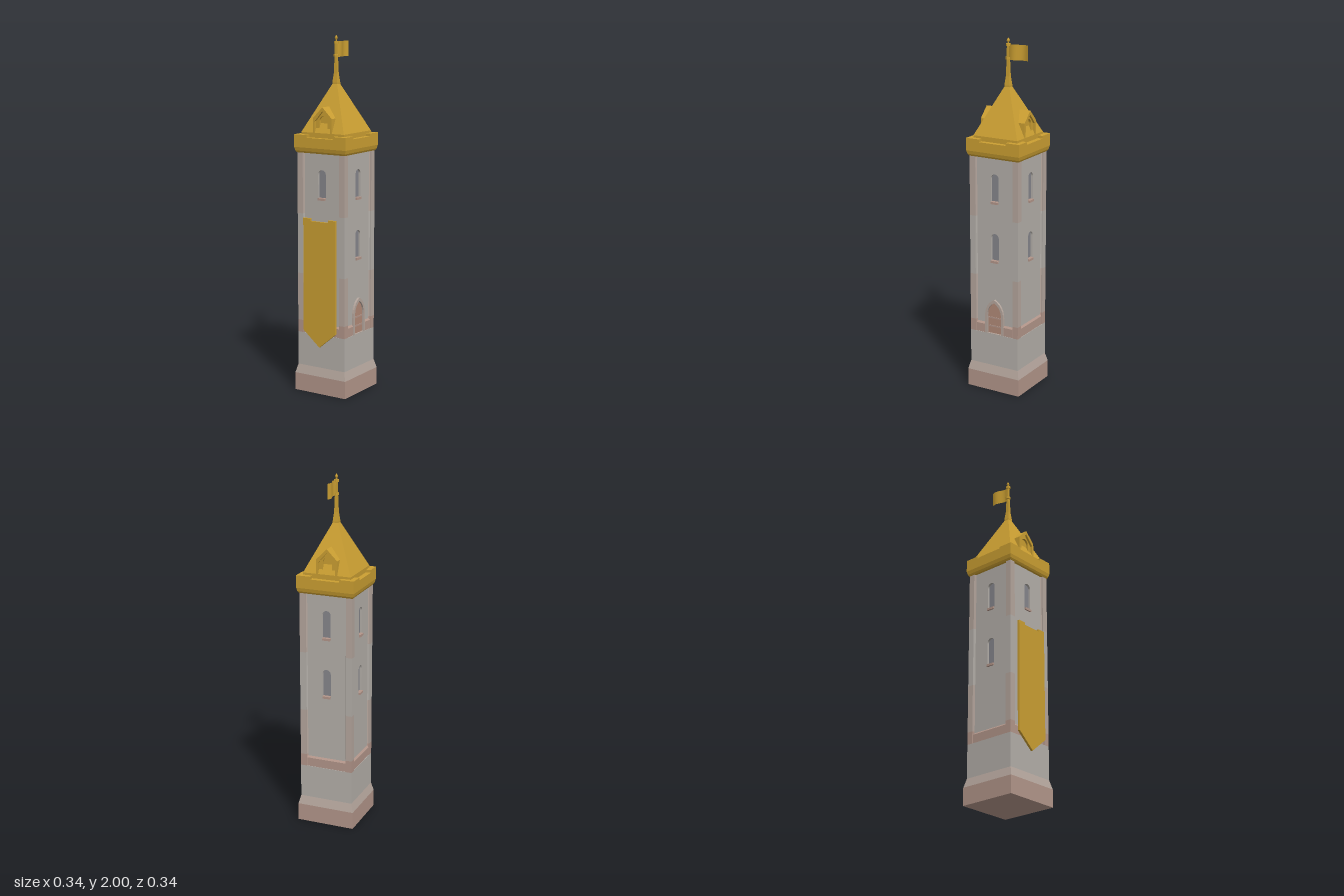
import * as THREE from 'three';

const mat = (color, flatShading = true) => new THREE.MeshStandardMaterial({ color, flatShading });
const stone = mat(0xb4afa9), pink = mat(0xb3968a), paleStone = mat(0xb5a69d), pane = mat(0x86868c);
const doorWood = mat(0xb18a78), gold = mat(0xcb9f32);
const cloth = new THREE.MeshStandardMaterial({ color: 0xcb9f32, side: THREE.DoubleSide });

function add(parent, name, geometry, material, x = 0, y = 0, z = 0) {
  const mesh = new THREE.Mesh(geometry, material);
  mesh.name = name;
  mesh.position.set(x, y, z);
  parent.add(mesh);
  return mesh;
}

const polygon = (points) => new THREE.Shape(points.map(([x, y]) => new THREE.Vector2(x, y)));
const extrude = (shape, depth) =>
  new THREE.ExtrudeGeometry(shape, { depth, bevelEnabled: false, curveSegments: 6 });

// Square-plan solid from [half width, height] pairs, bottom to top
function squareLathe(profile) {
  const points = profile.map(([r, y]) => new THREE.Vector2(r * Math.SQRT2, y));
  return new THREE.LatheGeometry(points, 4, Math.PI / 4).toNonIndexed();
}

// Plan outline raised upwards; plan y becomes -z
function raise(points, y0, y1) {
  return extrude(polygon(points), y1 - y0).rotateX(-Math.PI / 2).translate(0, y0, 0);
}

// Round-headed opening
function roundArch(w, y0, y1, Kind = THREE.Shape) {
  const s = new Kind();
  s.moveTo(-w, y0);
  s.lineTo(w, y0);
  s.lineTo(w, y1 - w);
  s.absarc(0, y1 - w, w, 0, Math.PI, false);
  s.lineTo(-w, y0);
  return s;
}

// Slightly pointed opening for the doorway
function pointedArch(w, y0, y1, Kind = THREE.Shape) {
  const spring = y1 - w * 1.75;
  const s = new Kind();
  s.moveTo(-w, y0);
  s.lineTo(w, y0);
  s.lineTo(w, spring);
  s.quadraticCurveTo(w, y1 - w * 0.5, 0, y1);
  s.quadraticCurveTo(-w, y1 - w * 0.5, -w, spring);
  s.lineTo(-w, y0);
  return s;
}

const BASE = 0.34, TOP = 1.37, WALL = 0.143;

// One recessed side of the shaft, facing +z
function buildWall(hasDoor) {
  const wall = new THREE.Group();
  wall.name = 'wall';
  const panel = polygon([[-0.125, BASE], [0.125, BASE], [0.125, TOP], [-0.125, TOP]]);
  for (const y of [0.77, 1.11]) {
    panel.holes.push(roundArch(0.025, y, y + 0.16, THREE.Path));
    add(wall, 'windowPane', new THREE.PlaneGeometry(0.06, 0.18), pane, 0, y + 0.08, 0.1305);
    add(wall, 'windowSill', new THREE.BoxGeometry(0.046, 0.013, 0.022), pink, 0, y - 0.002, 0.141);
  }
  add(wall, 'wallPanel', extrude(panel, 0.014), stone, 0, 0, WALL - 0.014);

  const ledge = (x0, x1) => {
    // Skirting with a sloped top, drawn in section and run along x
    const g = extrude(polygon([[0.13, BASE], [0.152, BASE], [0.152, 0.39], [WALL, 0.40], [0.13, 0.40]]), x1 - x0);
    add(wall, 'ledge', g.rotateY(-Math.PI / 2).translate(x1, 0, 0), pink);
  };
  if (hasDoor) {
    ledge(-0.117, -0.059);
    ledge(0.059, 0.117);
    const frame = pointedArch(0.06, BASE, 0.545);
    frame.holes.push(pointedArch(0.045, BASE + 0.002, 0.525, THREE.Path));
    add(wall, 'doorFrame', extrude(frame, 0.014), paleStone, 0, 0, WALL - 0.002);
    add(wall, 'door', extrude(pointedArch(0.047, BASE, 0.527), 0.004), doorWood, 0, 0, WALL - 0.002);
    for (const y of [0.385, 0.435])
      add(wall, 'doorBand', new THREE.BoxGeometry(0.08, 0.008, 0.004), pink, 0, y, 0.146);
  } else ledge(-0.117, 0.117);
  return wall;
}

// Gabled dormer facing +z, running back into the roof
function buildDormer() {
  const dormer = new THREE.Group();
  dormer.name = 'dormer';
  const gable = (w, y0, eave, apex) => [[-w, y0], [w, y0], [w, eave], [0, apex], [-w, eave]];
  const front = polygon(gable(0.052, 1.47, 1.545, 1.595));
  front.holes.push(roundArch(0.027, 1.497, 1.565, THREE.Path));
  add(dormer, 'dormerFront', extrude(front, 0.014), gold, 0, 0, 0.113);
  add(dormer, 'dormerBody', extrude(polygon(gable(0.052, 1.47, 1.545, 1.595)), 0.065), gold, 0, 0, 0.049);
  const roof = polygon([[-0.061, 1.535], [-0.05, 1.535], [0, 1.592], [0.05, 1.535], [0.061, 1.535],
    [0.061, 1.553], [0, 1.614], [-0.061, 1.553]]);
  add(dormer, 'dormerRoof', extrude(roof, 0.077), gold, 0, 0, 0.062);
  for (const s of [-1, 1])
    add(dormer, 'dormerJamb', new THREE.BoxGeometry(0.011, 0.075, 0.06), gold, s * 0.0555, 1.507, 0.109);
  return dormer;
}

export function createModel() {
  const tower = new THREE.Group();
  tower.name = 'tower';
  tower.position.z = -0.004;
  const model = new THREE.Group();
  model.name = 'bannerTower';
  model.add(tower);

  // Plinth and lower shaft
  add(tower, 'plinth', squareLathe([[0, 0], [0.168, 0], [0.168, 0.1], [0, 0.1]]), pink);
  add(tower, 'plinthSlope', squareLathe([[0.168, 0.1], [0.155, 0.15]]), paleStone);
  add(tower, 'lowerShaft', squareLathe([[0.155, 0.15], [0.155, BASE], [0, BASE]]), stone);
  add(tower, 'core', new THREE.BoxGeometry(0.26, TOP - BASE, 0.26), stone, 0, (TOP + BASE) / 2, 0);

  const corner = [[0.113, 0.113], [0.155, 0.113], [0.155, 0.155], [0.113, 0.155]];
  const pilaster = [[0.11, 0.11], [0.142, 0.112], [0.147, 0.12], [0.155, 0.12], [0.155, 0.155],
    [0.12, 0.155], [0.12, 0.147], [0.112, 0.142]];
  const bands = [[BASE, 0.41, pink], [0.41, 0.68, paleStone], [0.68, 1.02, stone],
    [1.02, 1.24, paleStone], [1.24, TOP, paleStone]];
  const merlon = [[0.085, 0.14], [0.14, 0.14], [0.14, 0.085], [0.168, 0.085], [0.168, 0.168], [0.085, 0.168]];

  // Four sides: wall, corner pilaster and raised parapet corner
  for (let i = 0; i < 4; i++) {
    const side = new THREE.Group();
    side.name = 'side';
    side.rotation.y = i * Math.PI / 2;
    side.add(buildWall(i === 1));
    for (const [y0, y1, m] of bands) add(side, 'cornerPilaster', raise(pilaster, y0, y1), m);
    add(side, 'pilasterFoot', raise(corner, BASE - 0.01, BASE), stone);
    add(side, 'parapetCorner', raise(merlon, 1.44, 1.46), gold);
    if (i % 2 === 0) side.add(buildDormer());
    tower.add(side);
  }

  // Cornice and roof
  add(tower, 'cornice', squareLathe([[0, 1.36], [0.157, 1.36], [0.163, 1.37], [0.168, 1.39],
    [0.168, 1.445], [0, 1.445]]), gold);
  add(tower, 'roof', squareLathe([[0.139, 1.445], [0.139, 1.472], [0.016, 1.732], [0, 1.732]]), gold);

  // Spire with collars and a pointed finial
  add(tower, 'spire', squareLathe([[0.016, 1.725], [0.016, 1.74], [0.010, 1.79], [0.007, 1.88],
    [0.006, 1.965], [0, 1.965]]), gold);
  for (const [y, r] of [[1.888, 0.015], [1.96, 0.014]])
    add(tower, 'spireCollar', new THREE.CylinderGeometry(r, r, 0.013, 8), gold, 0, y, 0);
  const finial = [[0.004, 1.96], [0.005, 1.975], [0.009, 1.984], [0.005, 1.992], [0, 2]];
  add(tower, 'finial', new THREE.LatheGeometry(finial.map(([r, y]) => new THREE.Vector2(r, y)), 8), gold);

  // Flag rippling towards the back
  const flag = new THREE.PlaneGeometry(0.12, 0.085, 12, 1).rotateY(Math.PI / 2);
  const p = flag.attributes.position;
  for (let i = 0; i < p.count; i++) {
    const t = 0.5 - p.getZ(i) / 0.12;
    p.setX(i, 0.008 * Math.sin(t * Math.PI * 2));
  }
  flag.computeVertexNormals();
  add(tower, 'flag', flag, cloth, 0, 1.922, -0.062);

  // Long hanging banner with a pointed foot
  const banner = polygon([[0, 0.272], [0.105, 0.36], [0.105, 1], [0.058, 1], [0.058, 0.986],
    [-0.058, 0.986], [-0.058, 1], [-0.105, 1], [-0.105, 0.36]]);
  add(tower, 'banner', extrude(banner, 0.013), gold, 0, 0, 0.161);
  return model;
}
